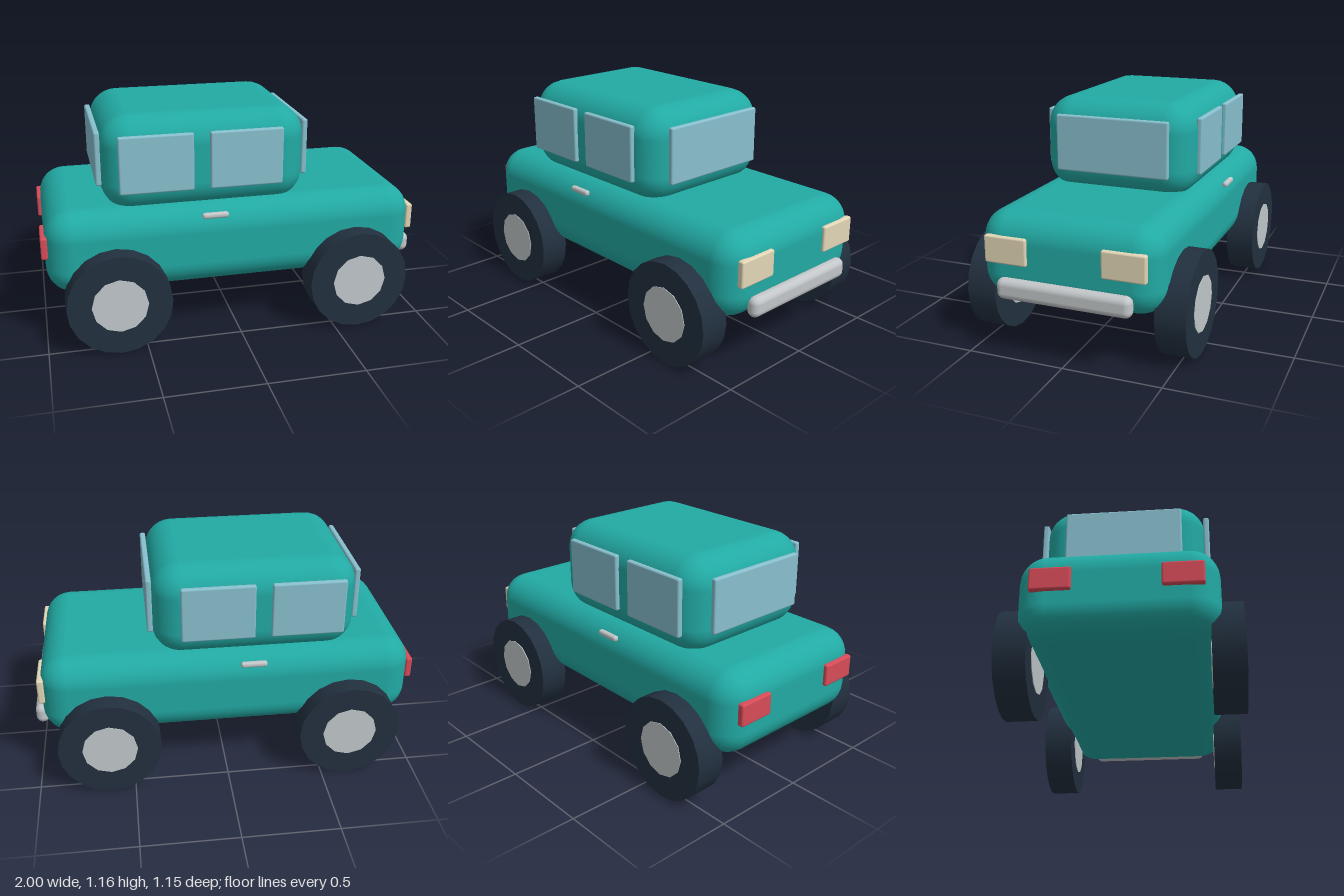
import * as THREE from 'three';
import { RoundedBoxGeometry } from 'three/addons/geometries/RoundedBoxGeometry.js';

const paint = (color) => new THREE.MeshStandardMaterial({ color });

export function createModel() {
  const car = new THREE.Group();
  car.name = 'car';

  const teal = paint(0x22aaa4);
  const glass = paint(0x88c0ce);
  const cream = paint(0xe2d6b6);
  const red = paint(0xd84c58);
  const rubber = paint(0x22303f);
  const hubGrey = paint(0xc2c9cc);
  const chrome = paint(0xc2c6c8);

  // Rounded box given by its extents along each axis
  function block(name, [x0, x1], [y0, y1], [z0, z1], radius, material, segments = 2) {
    const geometry = new RoundedBoxGeometry(x1 - x0, y1 - y0, z1 - z0, segments, radius);
    const mesh = new THREE.Mesh(geometry, material);
    mesh.position.set((x0 + x1) / 2, (y0 + y1) / 2, (z0 + z1) / 2);
    mesh.name = name;
    car.add(mesh);
  }

  // Body shell and cabin
  block('body', [-0.98, 0.955], [0.27, 0.71], [-0.47, 0.47], 0.14, teal, 4);
  block('cabin', [-0.68, 0.37], [0.67, 1.165], [-0.41, 0.41], 0.15, teal, 4);

  // Windscreen, rear window and bumper
  block('windscreen', [0.365, 0.395], [0.79, 1.085], [-0.305, 0.305], 0.01, glass);
  block('rearWindow', [-0.705, -0.675], [0.8, 1.08], [-0.293, 0.293], 0.01, glass);
  block('frontBumper', [0.93, 1.0], [0.297, 0.402], [-0.345, 0.345], 0.034, chrome, 4);

  for (const side of [1, -1]) {
    const label = side > 0 ? 'front' : 'back';
    const span = (a, b) => (side > 0 ? [a, b] : [-b, -a]);

    // Side windows and door handle
    block(`${label}SideRearWindow`, [-0.602, -0.227], [0.79, 1.085], span(0.4, 0.43), 0.01, glass);
    block(`${label}SideFrontWindow`, [-0.145, 0.23], [0.79, 1.085], span(0.4, 0.43), 0.01, glass);
    block(`${label}SideDoorHandle`, [-0.2, -0.065], [0.652, 0.682], span(0.46, 0.49), 0.013, chrome, 3);

    // Lamps
    block(`${label}SideHeadlight`, [0.935, 0.97], [0.468, 0.605], span(0.19, 0.41), 0.01, cream);
    block(`${label}SideTailLight`, [-1.0, -0.965], [0.472, 0.587], span(0.205, 0.4), 0.01, red);

    // Wheels: a tyre with a hub showing slightly on both faces
    for (const [end, x] of [['Rear', -0.636], ['Front', 0.62]]) {
      const wheel = new THREE.Group();
      wheel.name = `${label}Side${end}Wheel`;
      const tyre = new THREE.Mesh(new THREE.CylinderGeometry(0.265, 0.265, 0.153, 20), rubber);
      tyre.name = 'tyre';
      const hub = new THREE.Mesh(new THREE.CylinderGeometry(0.142, 0.142, 0.16, 12), hubGrey);
      hub.name = 'hub';
      wheel.add(tyre, hub);
      wheel.rotation.x = Math.PI / 2;
      wheel.position.set(x, 0.265, side * 0.493);
      car.add(wheel);
    }
  }

  return car;
}
